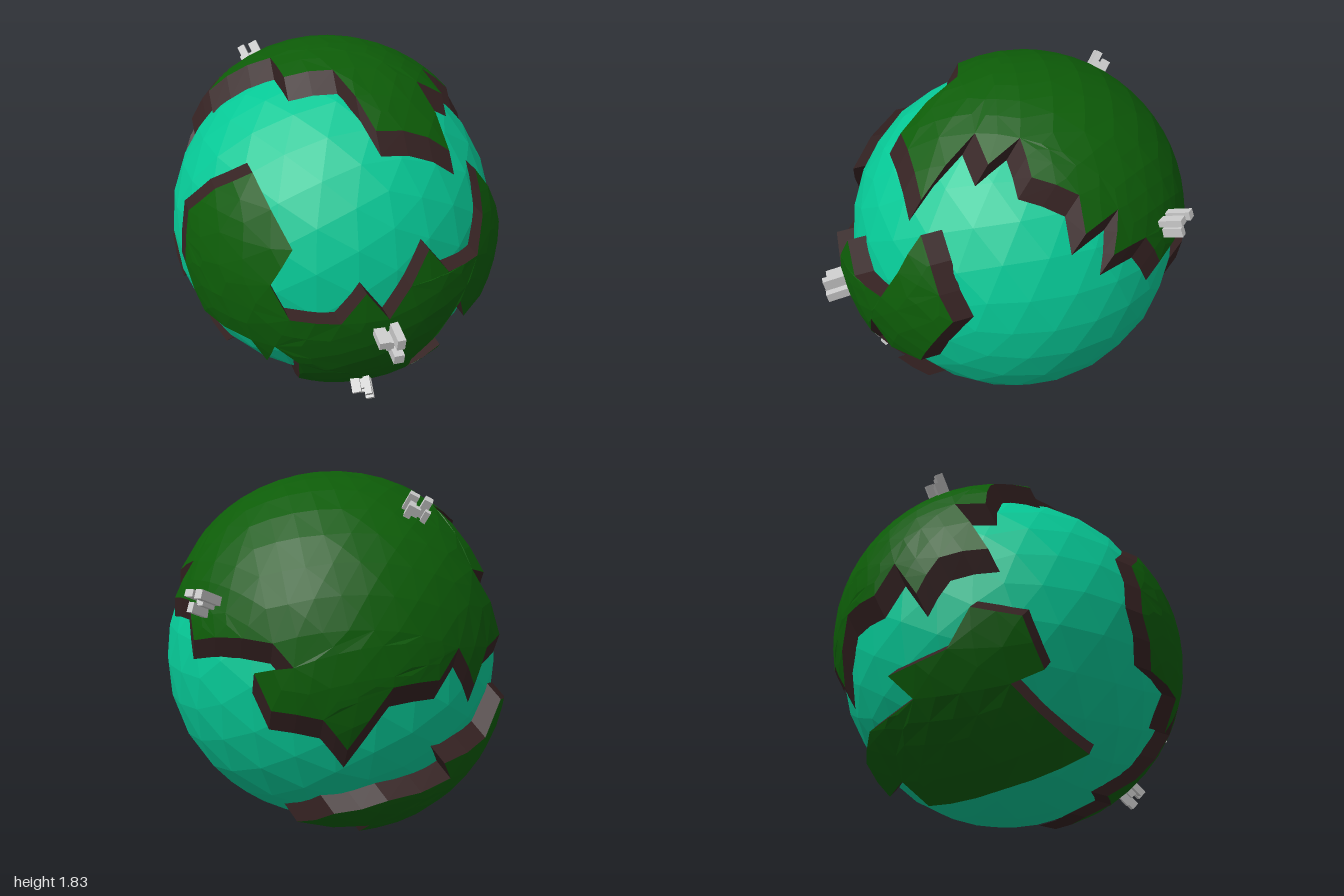
import * as THREE from 'three';

const CENTRE = new THREE.Vector3(0, 0.867, -0.06);
const OCEAN_R = 0.872;
const LAND_R = 0.88;
const WALL_DEPTH = 0.02;
const MAX_EDGE = 0.24;

const mat = (color) => new THREE.MeshStandardMaterial({ color, flatShading: true });
const oceanMat = mat(0x06c896);
const landMat = mat(0x0d5c08);
const cliffMat = mat(0x352222);
const cityMat = mat(0xcccccc);

// Coastlines, as points around the planet's centre.
// The front one is drawn in x, y and lifted onto the sphere.
const frontCoast = [
  [-.56, .535], [-.47, .265], [-.57, .085], [-.5, -.085], [-.29, -.09], [-.18, .07], [-.07, -.085],
  [.13, .225], [.24, .085], [.44, .085], [.5, .255], [.51, .445], [.6, .335], [.725, .085],
  [.66, -.08], [.57, -.255], [.41, -.275], [.34, -.125], [.12, -.455], [.16, -.615], [.31, -.455],
  [.36, -.595], [.2, -.745], [.05, -.745], [.08, -.825], [-.15, -.805], [-.2, -.735], [-.35, -.745],
  [-.38, -.645], [-.44, -.395], [-.55, -.285], [-.56, -.445], [-.64, -.285], [-.8, -.265],
  [-.86, -.015], [-.82, .265], [-.71, .425],
].map(([x, y]) => [x, y, Math.sqrt(Math.max(0.01, 0.872 ** 2 - x * x - y * y))]);

const topCoast = [
  [0, .6, .628], [.38, .454, .638], [.33, .72, .36], [.48, .64, .35], [.45, .73, .19], [.6, .61, .19],
  [.69, .53, 0], [.78, .38, 0], [.73, .44, -.18], [.82, .26, -.13], [.76, .27, -.32],
  [.755, .1, -.42], [.45, .13, -.74], [.366, .03, -.785], [.52, -.005, -.69], [.455, -.17, -.72],
  [.245, -.2, -.81], [.13, -.35, -.78], [-.05, -.06, -.86], [-.275, -.05, -.82], [-.38, .08, -.775],
  [-.49, -.11, -.705], [-.58, .05, -.65], [-.725, .075, -.48], [-.53, .405, -.555], [-.64, .38, -.45],
  [-.43, .7, -.28], [-.59, .617, -.17], [-.31, .81, .02], [-.31, .777, .24], [-.09, .81, .31],
];

const southCoast = [
  [.33, -.67, -.445], [.19, -.56, -.625], [-.04, -.48, -.7], [-.36, -.42, -.635], [-.29, -.31, -.725],
  [-.55, -.255, -.585], [-.66, -.09, -.545], [-.77, -.13, -.355], [-.75, -.34, -.235],
  [-.66, -.395, -.345], [-.61, -.62, .095], [-.36, -.74, -.195], [0, -.76, -.375], [-.01, -.67, -.515],
];

function meshOf(name, points, material) {
  const geometry = new THREE.BufferGeometry().setFromPoints(points);
  geometry.computeVertexNormals();
  const mesh = new THREE.Mesh(geometry, material);
  mesh.name = name;
  return mesh;
}

// Raised land: the coastline is flattened, filled, split into small facets, wrapped back on the sphere
// and lifted along one direction, so that all its cliffs run parallel to it.
function continent(name, coast, direction, height) {
  const dirs = coast.map((p) => new THREE.Vector3(...p).normalize());
  const n = new THREE.Vector3(...direction).normalize();
  const u = new THREE.Vector3(0, 1, 0).cross(n).normalize();
  const v = n.clone().cross(u);
  const flatten = (d) =>
    new THREE.Vector2(d.dot(u), d.dot(v)).setLength(Math.acos(THREE.MathUtils.clamp(d.dot(n), -1, 1)));
  const wrap = (q, lift) => {
    const a = q.length();
    const s = a > 1e-6 ? Math.sin(a) / a : 1;
    return n.clone().multiplyScalar(Math.cos(a)).addScaledVector(u, q.x * s).addScaledVector(v, q.y * s)
      .multiplyScalar(LAND_R).addScaledVector(n, lift);
  };

  const corners = dirs.map(flatten);
  if (THREE.ShapeUtils.area(corners) < 0) corners.reverse();
  const outline = corners.flatMap((a, i) => {
    const b = corners[(i + 1) % corners.length];
    const steps = Math.ceil(a.distanceTo(b) / MAX_EDGE);
    return Array.from({ length: steps }, (_, k) => a.clone().lerp(b, k / steps));
  });

  const ground = [];
  const split = (a, b, c) => {
    const ab = a.distanceTo(b), bc = b.distanceTo(c), ca = c.distanceTo(a);
    const longest = Math.max(ab, bc, ca);
    if (longest <= MAX_EDGE + 1e-6) {
      ground.push(wrap(a, height), wrap(b, height), wrap(c, height));
      return;
    }
    // turn the triangle so that its longest edge is a-b
    if (longest === bc) [a, b, c] = [b, c, a];
    else if (longest === ca) [a, b, c] = [c, a, b];
    const m = a.clone().add(b).multiplyScalar(0.5);
    split(a, m, c);
    split(m, b, c);
  };
  for (const [i, j, k] of THREE.ShapeUtils.triangulateShape(outline, [])) {
    const t = [outline[i], outline[j], outline[k]];
    if (THREE.ShapeUtils.area(t) < 0) t.reverse();
    split(...t);
  }

  const cliff = [];
  outline.forEach((a, i) => {
    const b = outline[(i + 1) % outline.length];
    const a0 = wrap(a, -WALL_DEPTH), b0 = wrap(b, -WALL_DEPTH), a1 = wrap(a, height), b1 = wrap(b, height);
    cliff.push(a0, b0, b1, a0, b1, a1);
  });

  const group = new THREE.Group();
  group.name = name;
  group.add(meshOf('land', ground, landMat), meshOf('cliff', cliff, cliffMat));
  return group;
}

// A cluster of little towers standing on the ground; each is [x, y, width, depth, tip radius].
const towers = [
  [-.035, .035, .055, .04, 1.05], [.035, .045, .04, .06, 1.07], [0, 0, .035, .05, 1.03],
  [.03, -.04, .05, .05, 1.08], [-.01, -.065, .03, .035, 1.04],
];
function city(name, direction, count, spin, spread, lift) {
  const group = new THREE.Group();
  group.name = name;
  towers.slice(0, count).forEach(([x, y, w, d, tip]) => {
    const tower = new THREE.Mesh(new THREE.BoxGeometry(w, d, tip - 0.9), cityMat);
    tower.name = 'tower';
    tower.position.set(x, y, (tip + 0.9) / 2 + lift);
    group.add(tower);
  });
  group.scale.set(spread, spread, 1);
  group.lookAt(new THREE.Vector3(...direction));
  group.rotateZ(spin);
  return group;
}

export function createModel() {
  const planet = new THREE.Group();
  planet.name = 'planet';

  const ocean = new THREE.Mesh(new THREE.IcosahedronGeometry(OCEAN_R, 4), oceanMat);
  ocean.name = 'ocean';
  planet.add(ocean);

  planet.add(
    continent('frontContinent', frontCoast, [-.02, -.08, 1], 0.08),
    continent('topContinent', topCoast, [0, .85, -.53], 0.1),
    continent('southContinent', southCoast, [-.45, -.65, -.6], 0.09),
  );

  planet.add(
    city('frontCity', [-.085, -.2, .97], 4, 0, 1, 0),
    city('lowerCity', [-.11, -.65, .75], 5, 0.3, 0.85, -0.04),
    city('topCity', [-.28, .83, -.63], 5, 0.8, 0.8, -0.01),
    city('sideCity', [.73, .37, -.57], 4, 1.6, 0.85, -0.02),
  );

  planet.position.copy(CENTRE);
  const model = new THREE.Group();
  model.add(planet);
  return model;
}
